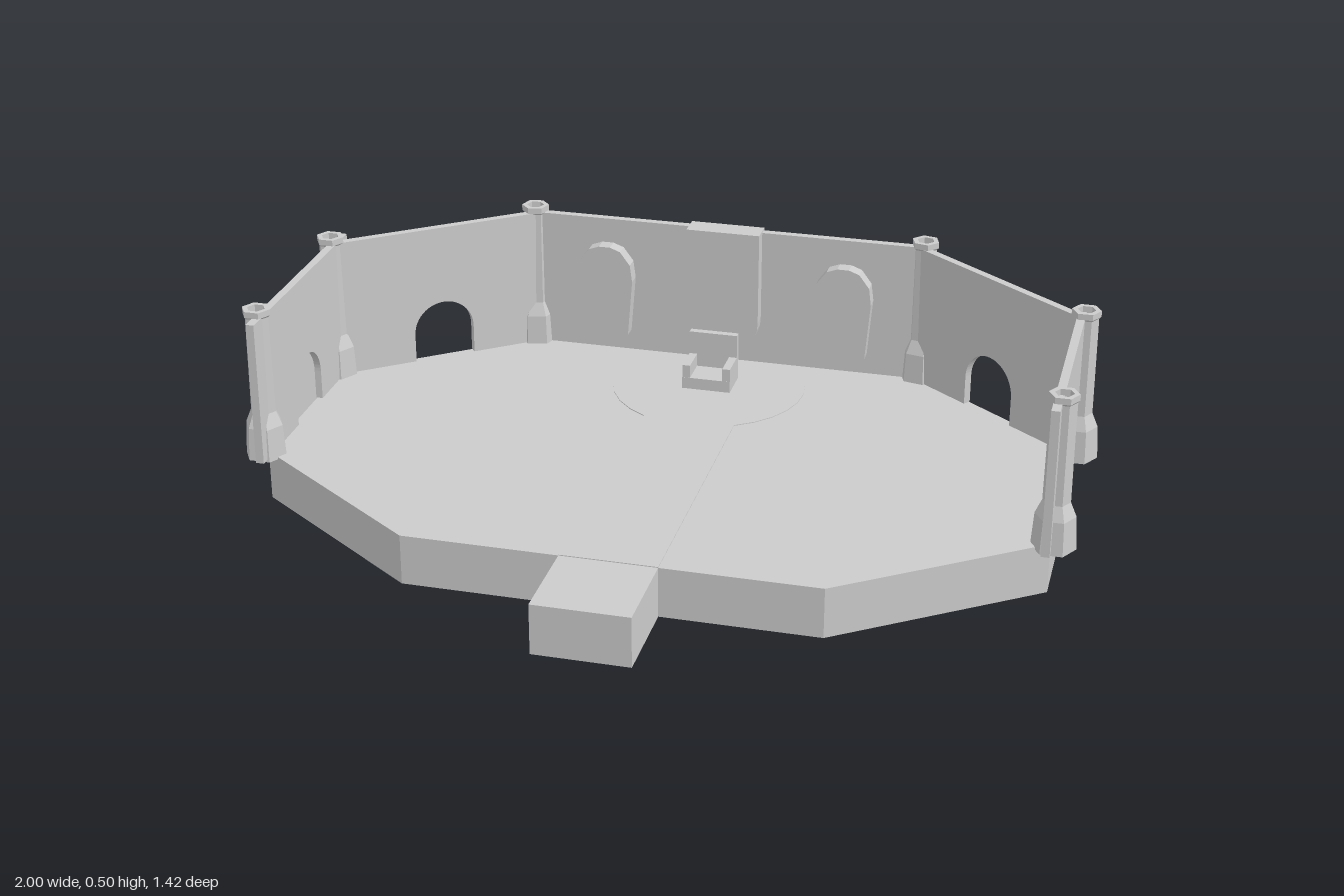
import * as THREE from 'three';

const FLOOR = 0.125, WALL_TOP = 0.485, THICK = 0.02;
const mat = new THREE.MeshStandardMaterial({ color: 0xcccccc, flatShading: true });
const sheetMat = new THREE.MeshStandardMaterial({ color: 0xcccccc, flatShading: true, side: THREE.DoubleSide });

function add(parent, name, geo, x = 0, y = 0, z = 0, material = mat) {
  const m = new THREE.Mesh(geo, material);
  m.name = name;
  m.position.set(x, y, z);
  parent.add(m);
  return m;
}

// Open-bottomed shell: a flat top with a skirt hanging from its outline of [x, z] points
function shell(parent, name, pts, top, bottom) {
  const g = new THREE.Group();
  g.name = name;
  const shape = new THREE.Shape(pts.map(([x, z]) => new THREE.Vector2(x, -z)));
  add(g, name + 'Top', new THREE.ShapeGeometry(shape).rotateX(-Math.PI / 2), 0, top, 0, sheetMat);
  const pos = [], index = [];
  pts.forEach(([x, z], i) => {
    pos.push(x, bottom, z, x, top, z);
    const a = 2 * i, b = 2 * ((i + 1) % pts.length);
    index.push(a, b, b + 1, a, b + 1, a + 1);
  });
  const geo = new THREE.BufferGeometry();
  geo.setAttribute('position', new THREE.Float32BufferAttribute(pos, 3));
  geo.setIndex(index);
  geo.computeVertexNormals();
  add(g, name + 'Skirt', geo, 0, 0, 0, sheetMat);
  parent.add(g);
}

// Wall slab with its outer face centred on (x, z); an arched doorway is cut at offset door
function wall(parent, name, x, z, nx, nz, length, door = null) {
  const h = length / 2, r = 0.08, spring = 0.2;
  const s = new THREE.Shape();
  s.moveTo(-h, FLOOR);
  if (door !== null) {
    s.lineTo(door - r, FLOOR);
    s.lineTo(door - r, spring);
    s.absarc(door, spring, r, Math.PI, 0, true);
    s.lineTo(door + r, FLOOR);
  }
  s.lineTo(h, FLOOR);
  s.lineTo(h, WALL_TOP);
  s.lineTo(-h, WALL_TOP);
  const geo = new THREE.ExtrudeGeometry(s, { depth: THICK, bevelEnabled: false, curveSegments: 14 });
  geo.translate(0, 0, -THICK);
  add(parent, name, geo, x, 0, z).rotation.y = Math.atan2(nx, nz);
}

// Hexagonal pillar: flared base, slim shaft, hollow collar on top
function pillar(parent, x, z, turn) {
  const profile = [[0, 0.118], [0.052, 0.118], [0.047, 0.2], [0.032, 0.235], [0.03, 0.48],
    [0.035, 0.485], [0.035, 0.5], [0.022, 0.5], [0.022, 0.47], [0, 0.47]];
  const geo = new THREE.LatheGeometry(profile.map(([r, y]) => new THREE.Vector2(r, y)), 6);
  add(parent, 'pillar', geo, x, 0, z).rotation.y = turn;
}

export function createModel() {
  const root = new THREE.Group();
  root.name = 'throneHall';

  // Hollow platform with entrance step
  const half = [[0.115, 0.713], [0.115, 0.487], [0.49, 0.487], [0.942, 0.16], [0.942, -0.32], [0.5, -0.665]];
  const mirrored = half.map(([x, z]) => [-x, z]).reverse();
  shell(root, 'platform', [...half, ...mirrored], 0.124, 0);

  // Walkway ending in a round dais under the throne
  const R = 0.245, cz = -0.475, w = 0.115, path = [[-w, 0.487], [w, 0.487]];
  const start = Math.asin(w / R), n = 24;
  for (let i = 0; i <= n; i++) {
    const a = start + (2 * Math.PI - 2 * start) * i / n;
    path.push([R * Math.sin(a), Math.max(-0.645, cz + R * Math.cos(a))]);
  }
  shell(root, 'walkway', path, 0.126, 0.105);

  // Walls
  wall(root, 'backWall', 0, -0.667, 0, -1, 1.0);
  for (const s of [1, -1]) {
    wall(root, 'diagonalWall', s * 0.722, -0.493, s * 0.345, -0.443, 0.56, 0);
    wall(root, 'sideWall', s * 0.947, -0.075, s, 0, 0.605, 0);
    pillar(root, s * 0.512, -0.662, s * 0.3);
    pillar(root, s * 0.948, -0.318, Math.PI / 6);
    pillar(root, s * 0.948, 0.16, Math.PI / 6);
  }

  // Panel closing the doorway on the right wall
  add(root, 'doorPanel', new THREE.BoxGeometry(0.018, 0.2, 0.17), -0.953, 0.2, -0.083);

  // Raised arched panels on the back wall
  const arch = [[-0.062, 0.18], [0.062, 0.18], [0.074, 0.33], [0.068, 0.375], [0.042, 0.41],
    [0.015, 0.42], [-0.015, 0.42], [-0.042, 0.41], [-0.068, 0.375], [-0.074, 0.33]];
  const archShape = new THREE.Shape(arch.map(([x, y]) => new THREE.Vector2(x, y)));
  const slab = { depth: 0.062, bevelEnabled: false, curveSegments: 8 };
  for (const s of [1, -1]) {
    add(root, 'archedPanel', new THREE.ExtrudeGeometry(archShape, slab), s * 0.313, 0, -0.672);
  }

  // Hanging banner with rounded foot
  const b = new THREE.Shape();
  b.moveTo(-0.095, 0.49);
  b.lineTo(-0.095, 0.25);
  b.bezierCurveTo(-0.095, 0.19, -0.06, 0.19, -0.05, 0.155);
  b.lineTo(0.05, 0.155);
  b.bezierCurveTo(0.06, 0.19, 0.095, 0.19, 0.095, 0.25);
  b.lineTo(0.095, 0.49);
  add(root, 'banner', new THREE.ExtrudeGeometry(b, slab), 0, 0, -0.672);

  // Throne
  const throne = new THREE.Group();
  throne.name = 'throne';
  root.add(throne);
  add(throne, 'seat', new THREE.BoxGeometry(0.124, 0.032, 0.095), 0, 0.14, -0.487);
  add(throne, 'backrest', new THREE.BoxGeometry(0.124, 0.125, 0.018), 0, 0.1875, -0.526);
  for (const s of [1, -1]) {
    add(throne, 'armrest', new THREE.BoxGeometry(0.02, 0.035, 0.078), s * 0.052, 0.172, -0.479);
  }
  return root;
}
